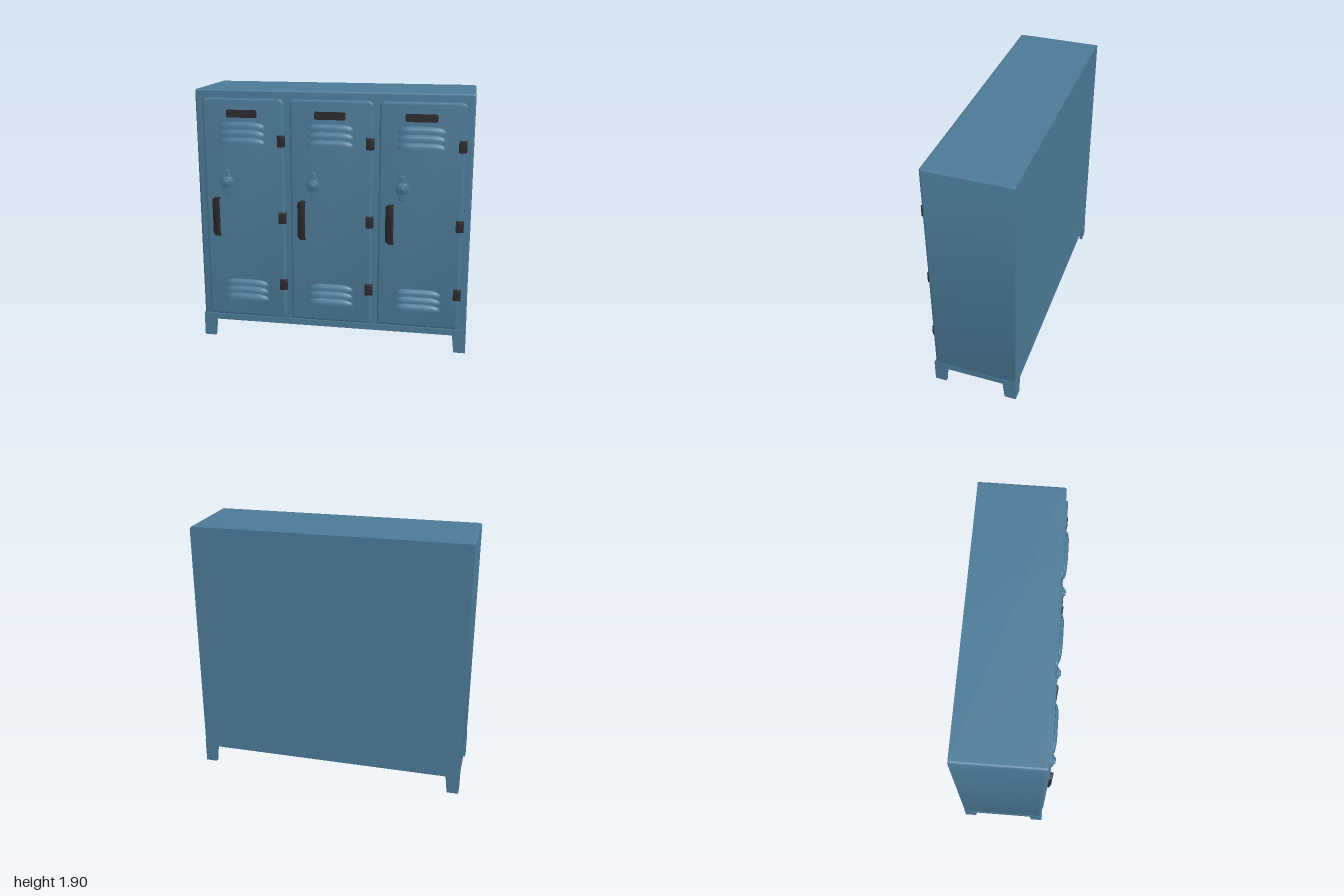
import * as THREE from 'three';
import { toCreasedNormals } from 'three/addons/utils/BufferGeometryUtils.js';

const steel = new THREE.MeshStandardMaterial({ color: 0x4c7a97 });
steel.name = 'blue steel';
const black = new THREE.MeshStandardMaterial({ color: 0x2c2c31 });
black.name = 'black fittings';

function add(parent, name, geometry, material, x = 0, y = 0, z = 0) {
  const mesh = new THREE.Mesh(geometry, material);
  mesh.name = name;
  mesh.position.set(x, y, z);
  parent.add(mesh);
  return mesh;
}

// Rounded rectangle centred on the origin
function roundRect(w, h, r) {
  const s = new THREE.Shape(), x = w / 2, y = h / 2, q = Math.PI / 2;
  s.absarc(x - r, y - r, r, 0, q);
  s.absarc(-x + r, y - r, r, q, 2 * q);
  s.absarc(-x + r, -y + r, r, 2 * q, 3 * q);
  s.absarc(x - r, -y + r, r, 3 * q, 4 * q);
  s.closePath();
  return s;
}

// Extrusion from z = 0 to z = depth whose bevel stays inside the outline
function plate(shape, depth, bevel = 0) {
  const g = new THREE.ExtrudeGeometry(shape, {
    depth: depth - 2 * bevel, bevelEnabled: bevel > 0, bevelSize: bevel,
    bevelThickness: bevel, bevelOffset: -bevel, bevelSegments: 3, curveSegments: 8,
  });
  g.translate(0, 0, bevel);
  return toCreasedNormals(g, 0.6);
}

// Louvre hood: quarter-ellipse sections along x, shrinking towards both ends
function louvreGeometry(w, h, d) {
  const n = 24, m = 8, pos = [], index = [];
  for (let i = 0; i <= n; i++) {
    const u = -Math.cos((i / n) * Math.PI);
    const s = Math.pow(Math.max(0, 1 - Math.pow(Math.abs(u), 5)), 0.6);
    pos.push((u * w) / 2, 0, 0);
    for (let j = 0; j <= m; j++) {
      const t = (j / m) * Math.PI / 2;
      pos.push((u * w) / 2, h * s * Math.sin(t), d * s * Math.cos(t));
    }
  }
  const row = m + 2;
  for (let i = 0; i < n; i++) {
    for (let j = 0; j <= m; j++) {
      const a = i * row + j, b = a + row;
      index.push(a, b, a + 1, b, b + 1, a + 1);
    }
  }
  const g = new THREE.BufferGeometry();
  g.setAttribute('position', new THREE.Float32BufferAttribute(pos, 3));
  g.setIndex(index);
  return toCreasedNormals(g, 0.8);
}

// Skirt panel with a leg at each end
function skirtGeometry(half, leg) {
  const s = new THREE.Shape([
    [-half, 0], [-half + leg - 0.015, 0], [-half + leg, 0.135], [half - leg, 0.135],
    [half - leg + 0.015, 0], [half, 0], [half, 0.18], [-half, 0.18],
  ].map(p => new THREE.Vector2(...p)));
  return plate(s, 0.024);
}

// Scooped pull, open towards +x; its front rises from left to right
function makeHandle() {
  const g = new THREE.Group();
  g.name = 'handle';
  const w = 0.03, h = 0.145, r = 0.035, t = 0.01;
  const outer = new THREE.Shape();
  outer.moveTo(w, -h + 0.012);
  outer.lineTo(w, h);
  outer.lineTo(-w + r, h);
  outer.quadraticCurveTo(-w, h, -w, h - r);
  outer.lineTo(-w, -h + r);
  outer.quadraticCurveTo(-w, -h, -w + r, -h);
  outer.lineTo(w - 0.012, -h);
  outer.closePath();
  const wall = new THREE.Shape();
  wall.moveTo(w, h);
  wall.lineTo(-w + r, h);
  wall.quadraticCurveTo(-w, h, -w, h - r);
  wall.lineTo(-w, -h + r);
  wall.quadraticCurveTo(-w, -h, -w + r, -h);
  wall.lineTo(w, -h);
  wall.lineTo(w, -h + t);
  wall.lineTo(-w + t + 0.02, -h + t);
  wall.lineTo(-w + t, -h + r);
  wall.lineTo(-w + t, h - r);
  wall.lineTo(-w + t + 0.02, h - t);
  wall.lineTo(w, h - t);
  wall.closePath();
  const slope = geo => {
    const p = geo.attributes.position;
    for (let i = 0; i < p.count; i++) {
      const u = (p.getX(i) + w) / (2 * w);
      p.setZ(i, p.getZ(i) * (0.45 + 0.55 * Math.sin(Math.min(1, u * 1.3) * Math.PI / 2)));
    }
    return toCreasedNormals(geo, 0.6);
  };
  const face = plate(outer, 0.012, 0.004);
  face.translate(0, 0, 0.025);
  add(g, 'handleFace', slope(face), black);
  add(g, 'handleWall', slope(plate(wall, 0.03)), black);
  return g;
}

// Lock: pointed backplate and a turned knob
function makeLock() {
  const g = new THREE.Group();
  g.name = 'lock';
  const s = new THREE.Shape();
  s.moveTo(0.022, 0.075);
  s.quadraticCurveTo(0.02, 0.095, 0, 0.095);
  s.quadraticCurveTo(-0.02, 0.095, -0.022, 0.075);
  s.bezierCurveTo(-0.025, 0.04, -0.048, 0.04, -0.048, 0);
  s.bezierCurveTo(-0.048, -0.04, -0.025, -0.04, -0.022, -0.075);
  s.quadraticCurveTo(-0.02, -0.095, 0, -0.095);
  s.quadraticCurveTo(0.02, -0.095, 0.022, -0.075);
  s.bezierCurveTo(0.025, -0.04, 0.048, -0.04, 0.048, 0);
  s.bezierCurveTo(0.048, 0.04, 0.025, 0.04, 0.022, 0.075);
  add(g, 'lockPlate', plate(s, 0.017, 0.004), steel);
  const profile = [[0.042, 0], [0.042, 0.022], [0.036, 0.03], [0.026, 0.031], [0.024, 0.038],
    [0.018, 0.042], [0, 0.043]].map(p => new THREE.Vector2(...p));
  const knob = new THREE.LatheGeometry(profile, 28);
  knob.rotateX(Math.PI / 2);
  add(g, 'lockKnob', toCreasedNormals(knob, 0.6), steel);
  return g;
}

const louvre = louvreGeometry(0.335, 0.043, 0.029);
const hinge = plate(roundRect(0.056, 0.085, 0.006), 0.032, 0.006);

function makeDoor(x) {
  const door = new THREE.Group();
  door.name = 'door';
  door.position.x = x;
  const face = 0.298;
  add(door, 'doorPanel', plate(roundRect(0.6, 1.655, 0.035), 0.044, 0.016), steel, 0, 1.0125, face - 0.044);
  add(door, 'labelPlate', plate(roundRect(0.225, 0.056, 0.014), 0.006), black, -0.008, 1.73, face - 0.003);
  for (const bottom of [1.515, 0.322]) {
    for (let i = 0; i < 3; i++) add(door, 'louvre', louvre, steel, -0.003, bottom + i * 0.057, face - 0.001);
  }
  for (const y of [1.54, 0.97, 0.455]) add(door, 'hinge', hinge, black, 0.28, y, 0.279);
  const lock = makeLock();
  lock.position.set(-0.13, 1.23, face - 0.001);
  const handle = makeHandle();
  handle.position.set(-0.217, 0.965, face - 0.001);
  door.add(lock, handle);
  return door;
}

export function createModel() {
  const model = new THREE.Group();
  model.name = 'lockers';

  // Cabinet with a softened front rim
  const body = roundRect(1.994, 1.74, 0.018);
  add(model, 'cabinet', plate(body, 0.6), steel, 0, 1.03, -0.336);
  add(model, 'cabinetFront', plate(body, 0.06, 0.014), steel, 0, 1.03, 0.221);

  // Base: floor panel and four skirts that form angled legs
  const base = new THREE.Group();
  base.name = 'base';
  add(base, 'floorPanel', new THREE.BoxGeometry(1.98, 0.022, 0.61), steel, 0, 0.167, -0.023);
  const long = skirtGeometry(1, 0.1), short = skirtGeometry(0.315, 0.1);
  add(base, 'frontSkirt', long, steel, 0, 0, 0.268);
  add(base, 'backSkirt', long, steel, 0, 0, -0.338);
  add(base, 'leftSkirt', short, steel, 0.976, 0, -0.023).rotation.y = Math.PI / 2;
  add(base, 'rightSkirt', short, steel, -0.976, 0, -0.023).rotation.y = -Math.PI / 2;
  model.add(base);

  for (const x of [-0.643, 0, 0.643]) model.add(makeDoor(x));
  return model;
}
